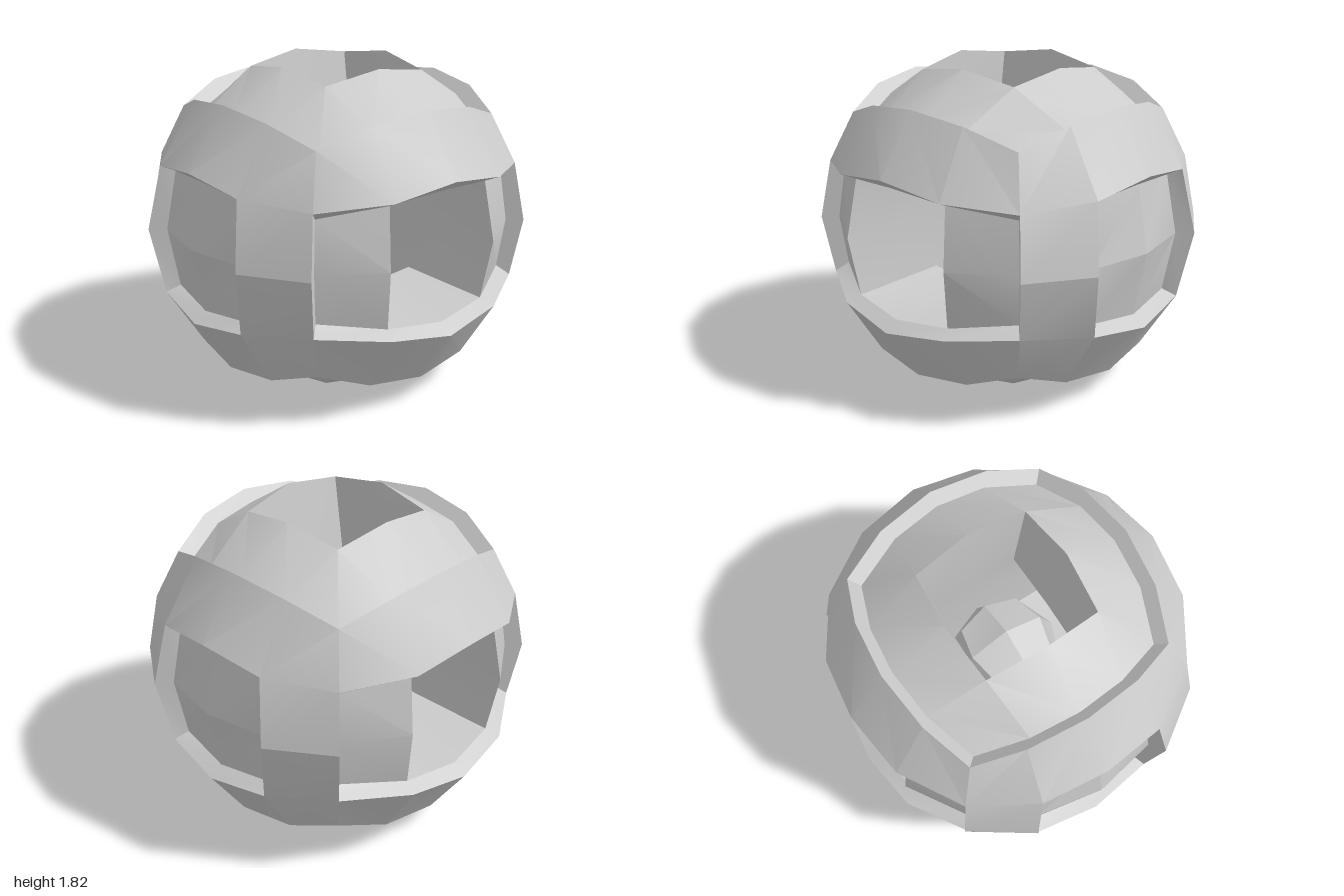
import * as THREE from 'three';
import { toCreasedNormals } from 'three/addons/utils/BufferGeometryUtils.js';

const CREASE = 0.35;
const V3 = (x, y, z) => new THREE.Vector3(x, y, z);
const mix = (f, u, v) => V3(0, 0, 0).addScaledVector(f.U, u).addScaledVector(f.V, v).add(f.N);

// Rounds a point of the 4 x 4 gridded cube onto the outer or the inset sphere.
function onSphere(c, outer) {
  const a = c.toArray();
  const halves = a.filter(n => Math.abs(n) === 0.5).length;
  const ones = a.filter(n => Math.abs(n) === 1).length;
  const k = ones === 2 ? (outer ? 0.47 : 0.43) : halves === 2 ? (outer ? 0.4 : 0.395) : (outer ? 0.435 : 0.407);
  const r = !outer ? 0.985 : c.y === 0 ? 1.087 : 1.075;
  return V3(...a.map(n => Math.abs(n) === 0.5 ? Math.sign(n) * k : n)).setLength(r);
}

// Matching corner of the cavity at the end of the tunnels.
function onCavity(c) {
  const [x, y, z] = c.toArray().map(Math.sign);
  return V3(x * 0.27, y * (z ? 0.34 : 0.37), z * (y ? 0.34 : 0.37));
}

// Which layer covers a point of the cube: raised band, inset panel or hole.
function layer(c) {
  const x = Math.abs(c.x), y = Math.abs(c.y), z = Math.abs(c.z);
  if (y > x && y > z) return x < 0.5 && z < 0.5 ? 'hole' : 'inset';
  if (z > x) return x < 0.5 && y < 0.5 ? 'inset' : 'band';
  if (y > 0.5) return 'band';
  return z < 0.5 ? 'hole' : 'inset';
}

// Layer at face coordinates, stepping round the cube edge when needed.
function layerAt(f, u, v) {
  if (Math.abs(u) > 1) return layer(f.U.clone().multiplyScalar(Math.sign(u)).addScaledVector(f.N, 0.75).addScaledVector(f.V, v));
  if (Math.abs(v) > 1) return layer(f.V.clone().multiplyScalar(Math.sign(v)).addScaledVector(f.N, 0.75).addScaledVector(f.U, u));
  return layer(mix(f, u, v));
}

function meshFromQuads(name, quads) {
  const pos = [];
  for (const [a, b, c, d] of quads) for (const p of [a, b, c, a, c, d]) pos.push(p.x, p.y, p.z);
  const g = new THREE.BufferGeometry();
  g.setAttribute('position', new THREE.Float32BufferAttribute(pos, 3));
  g.computeVertexNormals();
  const mesh = new THREE.Mesh(toCreasedNormals(g, CREASE),
    new THREE.MeshStandardMaterial({ color: 0xcccccc, side: THREE.DoubleSide }));
  mesh.name = name;
  return mesh;
}

export function createModel() {
  const group = new THREE.Group();
  group.name = 'wovenBall';
  const bands = [], panels = [], tunnels = [];

  const faces = [];
  for (const s of [1, -1]) {
    for (let i = 0; i < 3; i++) {
      const N = V3(0, 0, 0).setComponent(i, s);
      const U = V3(0, 0, 0).setComponent((i + 1) % 3, 1);
      faces.push({ N, U, V: N.clone().cross(U) });
    }
  }

  // Cells of the six faces, with a wall wherever the layer drops
  for (const f of faces) {
    for (let u = -1; u < 1; u += 0.5) {
      for (let v = -1; v < 1; v += 0.5) {
        const kind = layerAt(f, u + 0.25, v + 0.25);
        if (kind === 'hole') continue;
        const outer = kind === 'band';
        const corners = [[0, 0], [0.5, 0], [0.5, 0.5], [0, 0.5]].map(([a, b]) => mix(f, u + a, v + b));
        (outer ? bands : panels).push(corners.map(c => onSphere(c, outer)));
        [[0, -0.5], [0.5, 0], [0, 0.5], [-0.5, 0]].forEach(([du, dv], e) => {
          const next = layerAt(f, u + 0.25 + du, v + 0.25 + dv);
          const a = corners[e], b = corners[(e + 1) % 4];
          if (outer && next !== 'band')
            bands.push([onSphere(b, true), onSphere(a, true), onSphere(a, false), onSphere(b, false)]);
          if (next === 'hole')
            tunnels.push([onSphere(b, false), onSphere(a, false), onCavity(a), onCavity(b)]);
        });
      }
    }
  }

  // Front and back walls of the cavity where the tunnels cross
  for (const s of [1, -1]) {
    for (const x of [-1, 0]) {
      for (const y of [-1, 0]) {
        const q = [[x, y], [x, y + 1], [x + 1, y + 1], [x + 1, y]].map(([a, b]) => onCavity(V3(a, b, s)));
        tunnels.push(s > 0 ? q : q.reverse());
      }
    }
  }

  group.add(meshFromQuads('raisedBands', bands), meshFromQuads('insetPanels', panels),
    meshFromQuads('tunnelWalls', tunnels));

  // Small faceted ball floating in the middle
  const ball = new THREE.BoxGeometry(1, 1, 1, 2, 2, 2);
  const p = ball.attributes.position;
  for (let i = 0; i < p.count; i++) {
    const q = V3(0, 0, 0).fromBufferAttribute(p, i).setLength(0.32);
    p.setXYZ(i, q.x, q.y, q.z);
  }
  const core = new THREE.Mesh(toCreasedNormals(ball, CREASE), new THREE.MeshStandardMaterial({ color: 0xcccccc }));
  core.name = 'centreBall';
  group.add(core);

  group.children.forEach(m => { m.position.y = 0.91; });
  return group;
}
